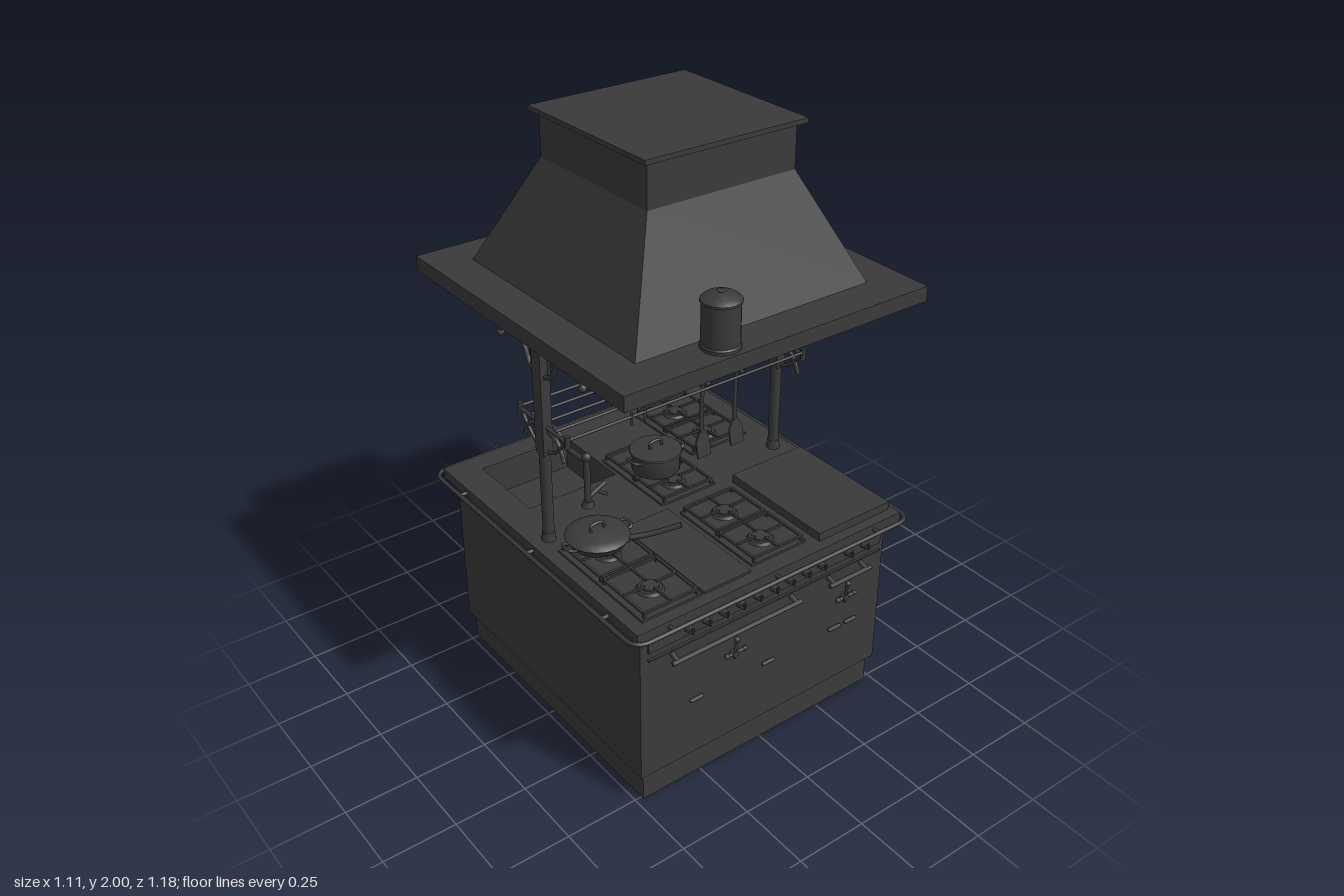
import * as THREE from 'three';
import { toCreasedNormals } from 'three/addons/utils/BufferGeometryUtils.js';

const mat = new THREE.MeshStandardMaterial({ color: 0x3a3a3a, side: THREE.DoubleSide });
const V = (x, y, z) => new THREE.Vector3(x, y, z);

function add(parent, name, geo, x = 0, y = 0, z = 0) {
  const mesh = new THREE.Mesh(geo, mat);
  mesh.name = name;
  mesh.position.set(x, y, z);
  parent.add(mesh);
  return mesh;
}
function group(parent, name, x = 0, y = 0, z = 0) {
  const g = new THREE.Group();
  g.name = name;
  g.position.set(x, y, z);
  parent.add(g);
  return g;
}
const box = (p, name, w, h, d, x, y, z) => add(p, name, new THREE.BoxGeometry(w, h, d), x, y, z);
const cyl = (p, name, r, h, x, y, z, r2 = r) => add(p, name, new THREE.CylinderGeometry(r2, r, h, 20), x, y, z);
const ball = (p, name, r, x, y, z) => add(p, name, new THREE.SphereGeometry(r, 12, 8), x, y, z);
const turned = (p, name, pts) =>
  add(p, name, toCreasedNormals(new THREE.LatheGeometry(pts.map(a => new THREE.Vector2(...a)), 20), 0.6));
function tube(p, name, pts, r) {
  const c = new THREE.CatmullRomCurve3(pts.map(a => V(...a)), false, 'centripetal');
  return add(p, name, new THREE.TubeGeometry(c, pts.length * 6, r, 8));
}
function rod(p, name, a, b, r) {
  const dir = V(...b).sub(V(...a));
  const m = add(p, name, new THREE.CylinderGeometry(r, r, dir.length(), 10));
  m.position.addVectors(V(...a), V(...b)).multiplyScalar(0.5);
  m.quaternion.setFromUnitVectors(V(0, 1, 0), dir.normalize());
}
function rect(S, w, d, x = 0, z = 0) {
  const s = new S();
  s.moveTo(x - w / 2, -z - d / 2).lineTo(x + w / 2, -z - d / 2);
  s.lineTo(x + w / 2, -z + d / 2).lineTo(x - w / 2, -z + d / 2).closePath();
  return s;
}
// Horizontal slab with a rectangular hole [w, d, x, z]
function slab(p, name, w, d, y0, y1, hole) {
  const s = rect(THREE.Shape, w, d);
  s.holes.push(rect(THREE.Path, ...hole));
  const g = new THREE.ExtrudeGeometry(s, { depth: y1 - y0, bevelEnabled: false });
  return add(p, name, g.rotateX(-Math.PI / 2), 0, y0, 0);
}

// Gas hob: tray, two burners along z, grate bars over each
function hob(p, x, z, w, d) {
  const g = group(p, 'hob', x, 0.705, z);
  box(g, 'hobTray', w, 0.008, d, 0, 0.004, 0);
  for (const s of [-1, 1]) {
    const b = group(g, 'burner', 0, 0, s * d / 4);
    cyl(b, 'burnerBase', 0.045, 0.01, 0, 0.012, 0, 0.038);
    cyl(b, 'burnerCap', 0.028, 0.007, 0, 0.02, 0);
    const hw = w * 0.44, hd = d * 0.23;
    for (const t of [-1, 1]) {
      box(b, 'grateSide', 0.008, 0.008, hd * 2, t * hw, 0.024, 0);
      box(b, 'grateEnd', hw * 2, 0.008, 0.008, 0, 0.024, t * hd);
      box(b, 'grateFinger', hw - 0.022, 0.008, 0.007, t * (hw + 0.022) / 2, 0.026, 0);
      box(b, 'grateFinger', 0.007, 0.008, hd - 0.022, 0, 0.026, t * (hd + 0.022) / 2);
      for (const u of [-1, 1]) box(b, 'grateFoot', 0.008, 0.02, 0.008, t * hw, 0.014, u * hd);
    }
  }
}

// Straight canister with a lid and knob
function canister(p, x, y, z, r, h) {
  const g = group(p, 'canister', x, y, z);
  turned(g, 'canisterBody', [[0, 0], [r, 0], [r, 0.01], [r * 0.94, 0.015], [r * 0.94, h * 0.78], [r, h * 0.79],
    [r, h * 0.83], [r * 0.8, h * 0.89], [r * 0.25, h * 0.92], [r * 0.12, h * 0.94], [r * 0.26, h * 0.97], [0, h]]);
}

// Cross-shaped latch with a lever, facing +z
function latch(p, x, y, z) {
  const g = group(p, 'latch', x, y, z);
  rod(g, 'latchBar', [-0.03, 0, 0.012], [0.04, 0, 0.012], 0.006);
  rod(g, 'latchStem', [0, -0.02, 0.012], [0, 0.06, 0.02], 0.005);
  rod(g, 'latchPin', [0, 0, 0], [0, 0, 0.02], 0.012);
  ball(g, 'latchKnob', 0.01, 0, 0.06, 0.022);
  for (const s of [-0.03, 0.04]) ball(g, 'latchEnd', 0.009, s, 0, 0.012);
}

function towelBar(p, x0, x1) {
  const g = group(p, 'ovenHandle');
  rod(g, 'handleBar', [x0, 0.533, 0.555], [x1, 0.533, 0.555], 0.008);
  for (const x of [x0 + 0.02, x1 - 0.02]) rod(g, 'handleMount', [x, 0.545, 0.525], [x, 0.533, 0.555], 0.009);
}

// Closed rectangular rail with straight sides and rounded corners
function guardRail(p, X, Z, c, y) {
  const rail = group(p, 'guardRail');
  const path = new THREE.CurvePath();
  const turn = [[1, 1], [-1, 1], [-1, -1], [1, -1]];
  turn.forEach(([sx, sz], i) => {
    const alongX = [sx * (X - c), y, sz * Z], alongZ = [sx * X, y, sz * (Z - c)];
    const [from, to] = i % 2 ? [alongX, alongZ] : [alongZ, alongX];
    const [nx, nz] = turn[(i + 1) % 4];
    const next = i % 2 ? [nx * X, y, nz * (Z - c)] : [nx * (X - c), y, nz * Z];
    path.add(new THREE.QuadraticBezierCurve3(V(...from), V(sx * X, y, sz * Z), V(...to)));
    path.add(new THREE.LineCurve3(V(...to), V(...next)));
  });
  add(rail, 'railTube', new THREE.TubeGeometry(path, 240, 0.007, 8, true));
  for (const s of [-1, 1]) for (const t of [-0.41, 0, 0.41]) {
    rod(rail, 'railBracket', [t, y, s * 0.555], [t, y, s * Z], 0.007);
    rod(rail, 'railBracket', [s * 0.52, y, t], [s * X, y, t], 0.007);
  }
}

export function createModel() {
  const root = new THREE.Group();
  const sink = [0.34, 0.3, -0.25, -0.33];

  // Cabinet and worktop
  box(root, 'plinth', 0.95, 0.105, 1.02, 0, 0.0525, 0);
  slab(root, 'cabinet', 0.985, 1.05, 0.105, 0.67, sink);
  slab(root, 'worktop', 1.05, 1.12, 0.67, 0.705, sink);
  box(root, 'sinkFloor', 0.34, 0.01, 0.3, -0.25, 0.58, -0.33);
  cyl(root, 'sinkDrain', 0.025, 0.006, -0.25, 0.588, -0.33);
  guardRail(root, 0.55, 0.583, 0.055, 0.685);

  // Control panel, knobs and front handles
  box(root, 'controlPanel', 0.94, 0.07, 0.008, 0.005, 0.625, 0.527);
  box(root, 'panelTrim', 0.94, 0.006, 0.012, 0.005, 0.562, 0.527);
  const knobs = [...Array(9).keys()].map(i => -0.32 + i * 0.0663).concat(0.325, 0.395);
  for (const x of knobs) {
    cyl(root, 'controlKnob', 0.014, 0.022, x, 0.62, 0.541, 0.011).rotation.x = Math.PI / 2;
    box(root, 'knobGrip', 0.005, 0.022, 0.01, x, 0.62, 0.554);
  }
  towelBar(root, -0.395, 0.115);
  towelBar(root, 0.235, 0.415);
  latch(root, -0.14, 0.437, 0.525);
  latch(root, 0.325, 0.44, 0.525);
  for (const x of [-0.285, 0.005, 0.29, 0.36]) {
    rod(root, 'drawerPull', [x - 0.02, 0.328, 0.533], [x + 0.02, 0.328, 0.533], 0.007);
    for (const s of [-0.02, 0.02]) ball(root, 'pullEnd', 0.007, x + s, 0.328, 0.533);
  }

  // Back doors: hinges and paired latches
  const back = group(root, 'backDoors');
  back.rotation.y = Math.PI;
  for (const x of [-0.46, 0.46]) for (const y of [0.28, 0.47]) {
    rod(back, 'hingePin', [x, y - 0.03, 0.53], [x, y + 0.03, 0.53], 0.008);
    box(back, 'hingeLeaf', 0.05, 0.018, 0.008, x - Math.sign(x) * 0.015, y, 0.527);
  }
  for (const x of [-0.055, 0.055]) latch(back, x, 0.4, 0.525);
  rod(back, 'latchRod', [-0.15, 0.4, 0.533], [0.15, 0.4, 0.533], 0.006);
  for (const x of [-0.09, 0, 0.09]) rod(back, 'latchGuide', [x, 0.375, 0.531], [x, 0.425, 0.531], 0.006);

  // Worktop fittings
  hob(root, -0.37, 0.3, 0.22, 0.44);
  hob(root, 0.06, 0.32, 0.22, 0.36);
  hob(root, 0.04, -0.1, 0.22, 0.34);
  hob(root, 0.32, -0.29, 0.24, 0.34);
  box(root, 'flushPlate', 0.18, 0.008, 0.42, -0.16, 0.709, 0.31);
  box(root, 'griddleLid', 0.3, 0.03, 0.43, 0.355, 0.72, 0.31);
  for (const x of [0.27, 0.35]) cyl(root, 'hobKnob', 0.014, 0.035, x, 0.73, -0.475, 0.01);

  // Tap
  const tap = group(root, 'tap', -0.26, 0.705, -0.08);
  cyl(tap, 'tapBase', 0.022, 0.02, 0, 0.01, 0, 0.016);
  cyl(tap, 'tapColumn', 0.011, 0.17, 0, 0.09, 0);
  tube(tap, 'tapSpout', [[0, 0.17, 0], [0, 0.165, -0.07], [0, 0.17, -0.12], [0, 0.205, -0.18], [0, 0.2, -0.215],
    [0, 0.16, -0.228]], 0.009);
  ball(tap, 'tapFinial', 0.016, 0, 0.185, 0);
  rod(tap, 'tapLever', [0, 0.03, 0], [0.07, 0.065, 0], 0.008);
  rod(tap, 'tapLever', [0.035, 0.045, 0], [0.075, 0.015, 0], 0.006);

  // Covered frying pan and stock pot
  const pan = group(root, 'fryingPan', -0.38, 0.733, 0.15);
  turned(pan, 'panBody', [[0, 0], [0.07, 0], [0.088, 0.012], [0.097, 0.034], [0.103, 0.038], [0.1, 0.042],
    [0.075, 0.052], [0, 0.058]]);
  tube(pan, 'panHandle', [[0.075, 0.03, 0.065], [0.12, 0.042, 0.1], [0.2, 0.08, 0.165]], 0.009);
  const pot = group(root, 'stockPot', 0.03, 0.733, -0.1);
  turned(pot, 'potBody', [[0, 0], [0.08, 0], [0.083, 0.005], [0.083, 0.065], [0.09, 0.068], [0.088, 0.074], [0, 0.082]]);
  for (const [g, y, r] of [[pan, 0.057, 0.1], [pot, 0.082, 0.085]]) {
    tube(g, 'lidHandle', [[-0.024, y - 0.005, 0], [-0.022, y + 0.018, 0], [0.022, y + 0.018, 0], [0.024, y - 0.005, 0]], 0.005);
    for (const s of [-1, 1]) {
      tube(g, 'sideHandle', [[s * r * 0.93, y - 0.03, -0.025], [s * (r + 0.016), y - 0.022, -0.02],
        [s * (r + 0.016), y - 0.022, 0.02], [s * r * 0.93, y - 0.03, 0.025]], 0.005);
    }
  }

  // Posts with scrolled brackets and hanging bars
  for (const sx of [-1, 1]) {
    const post = group(root, 'post', sx * 0.463, 0, 0);
    cyl(post, 'postShaft', 0.0185, 0.75, 0, 1.075, 0);
    cyl(post, 'postBase', 0.024, 0.03, 0, 0.72, 0, 0.02);
    box(post, 'postPlate', 0.034, 0.42, 0.046, 0, 1.235, 0);
    rod(post, 'hangingBar', [0, 1.395, -0.28], [0, 1.395, 0.28], 0.005);
    rod(post, 'shelfArm', [0, 1.12, -0.13], [0, 1.12, 0.13], 0.007);
    for (const s of [-1, 1]) {
      cyl(post, 'barHanger', 0.007, 0.06, 0, 1.422, s * 0.265, 0.013);
      ball(post, 'barEnd', 0.008, 0, 1.395, s * 0.28);
      rod(post, 'barStay', [0, 1.31, s * 0.045], [0, 1.395, s * 0.045], 0.005);
      tube(post, 'scrollBracket', [[0, 1.29, s * 0.015], [0, 1.31, s * 0.06], [0, 1.36, s * 0.09], [0, 1.382, s * 0.14],
        [0, 1.378, s * 0.2], [0, 1.345, s * 0.226]], 0.008);
      ball(post, 'scrollTip', 0.013, 0, 1.345, s * 0.222);
      tube(post, 'shelfBracket', [[0, 1.11, s * 0.03], [0, 1.098, s * 0.075], [0, 1.07, s * 0.1], [0, 1.038, s * 0.115]]
        .map(([x, y, z]) => [x, y, z * 0.95]), 0.007);
      tube(post, 'shelfScroll', [[0, 1.035, s * 0.015], [0, 1.045, s * 0.05], [0, 1.08, s * 0.09], [0, 1.115, s * 0.12]], 0.006);
      rod(post, 'shelfArmEnd', [0, 1.1, s * 0.13], [0, 1.142, s * 0.13], 0.009);
    }
  }

  // Rod shelf between the posts, with clips
  for (const z of [-0.13, -0.065, 0, 0.065, 0.13]) {
    rod(root, 'shelfRod', [-0.463, 1.128, z], [0.463, 1.128, z], 0.005);
  }
  for (const x of [-0.23, -0.18]) rod(root, 'shelfHook', [x, 1.1, 0.13], [x, 1.14, 0.13], 0.005);

  // Hanging spatulas
  const blade = new THREE.Shape();
  blade.moveTo(-0.026, 0.003).lineTo(0.026, 0.003).lineTo(0.028, 0.06);
  blade.lineTo(0.01, 0.095).lineTo(-0.01, 0.095).lineTo(-0.028, 0.06).closePath();
  for (const x of [0.075, 0.212]) {
    const u = group(root, 'spatula', x, 0.855, 0.09);
    tube(u, 'spatulaHandle', [[0, 0.275, 0.035], [0, 0.285, 0.01], [0, 0.25, 0], [0, 0.085, -0.002]], 0.007);
    const m = add(u, 'spatulaBlade', new THREE.ExtrudeGeometry(blade, { depth: 0.006, bevelEnabled: false }), 0, 0, 0.01);
    m.rotation.x = -0.15;
  }

  // Hood: overhanging slab, hollow four-sided chimney and cap
  slab(root, 'hoodSlab', 1.11, 1.11, 1.45, 1.5, [0.85, 0.85, 0, 0]);
  const profile = [[0.43, 1.495], [0.265, 1.845], [0.265, 1.985]].map(a => new THREE.Vector2(a[0] * Math.SQRT2, a[1]));
  add(root, 'hoodChimney', toCreasedNormals(new THREE.LatheGeometry(profile, 4).rotateY(Math.PI / 4), 0.1));
  box(root, 'hoodCap', 0.575, 0.015, 0.575, 0, 1.9925, 0);

  // Storage jars
  canister(root, 0.21, 1.135, 0, 0.07, 0.22);
  canister(root, -0.18, 1.5, 0.485, 0.06, 0.175);
  const jar = group(root, 'roundJar', 0.155, 1.5, -0.5);
  turned(jar, 'jarBody', [[0, 0], [0.042, 0], [0.057, 0.018], [0.064, 0.048], [0.06, 0.075], [0.046, 0.096],
    [0.05, 0.098], [0.05, 0.104], [0.03, 0.114], [0.008, 0.117], [0.013, 0.124], [0, 0.13]]);
  return root;
}
